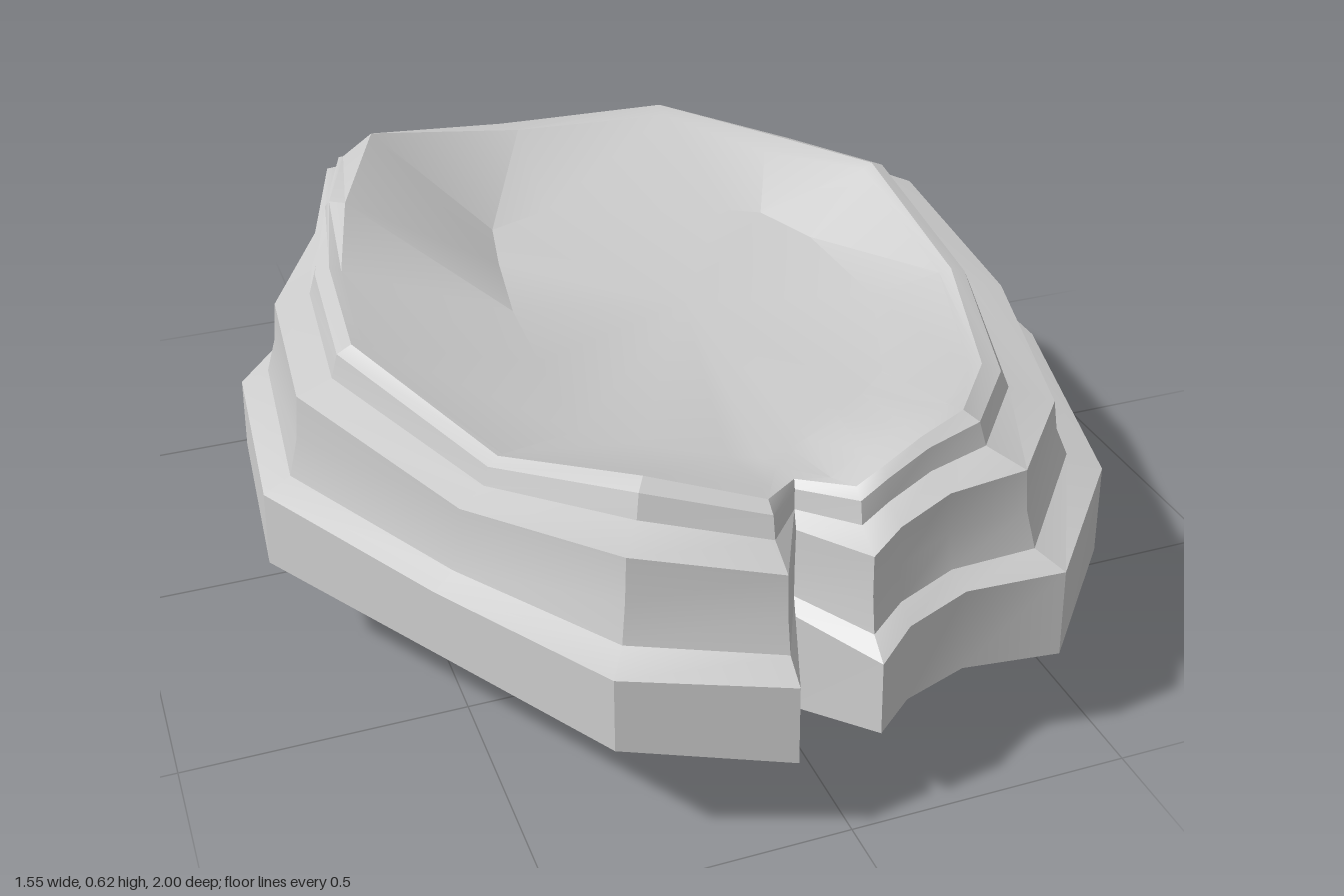
import * as THREE from 'three';
import { toCreasedNormals } from 'three/addons/utils/BufferGeometryUtils.js';

// Each outline starts at the front notch and runs round by +x, back, -x.
// Widest band: x, z, lower y, upper y
const BAND = [
  [0.05, 0.98, 0.17, 0.3], [0.12, 0.93, 0.18, 0.32], [0.24, 0.89, 0.18, 0.33],
  [0.41, 0.91, 0.18, 0.34], [0.63, 0.66, 0.17, 0.34], [0.77, 0.17, 0.17, 0.33],
  [0.76, -0.25, 0.19, 0.34], [0.62, -0.62, 0.19, 0.33], [0.39, -0.88, 0.19, 0.33],
  [-0.02, -1, 0.2, 0.33], [-0.46, -0.85, 0.2, 0.33], [-0.57, -0.4, 0.2, 0.34],
  [-0.75, -0.16, 0.2, 0.34], [-0.78, 0.24, 0.2, 0.34], [-0.57, 0.6, 0.21, 0.33],
  [-0.37, 0.91, 0.2, 0.33], [-0.1, 1, 0.17, 0.31], [-0.03, 0.82, 0.12, 0.3],
];
// Upper rim: x, z, y
const RIM = [
  [0.07, 0.8, 0.52], [0.12, 0.79, 0.54], [0.2, 0.76, 0.56],
  [0.29, 0.73, 0.575], [0.45, 0.51, 0.51], [0.58, 0.15, 0.5],
  [0.57, -0.19, 0.58], [0.5, -0.47, 0.53], [0.31, -0.74, 0.53],
  [-0.02, -0.87, 0.48], [-0.42, -0.7, 0.53], [-0.52, -0.34, 0.6],
  [-0.57, -0.11, 0.575], [-0.6, 0.22, 0.595], [-0.43, 0.51, 0.51],
  [-0.26, 0.73, 0.57], [-0.08, 0.8, 0.53], [0, 0.72, 0.5],
];
// Inner lip of the basin: x, z, y
const LIP = [
  [0.05, 0.75, 0.51], [0.11, 0.74, 0.54], [0.19, 0.72, 0.56],
  [0.28, 0.7, 0.57], [0.43, 0.5, 0.505], [0.56, 0.14, 0.49],
  [0.55, -0.19, 0.57], [0.45, -0.46, 0.51], [0.3, -0.68, 0.53],
  [-0.03, -0.71, 0.53], [-0.38, -0.58, 0.625], [-0.5, -0.28, 0.62],
  [-0.55, -0.1, 0.57], [-0.58, 0.22, 0.59], [-0.42, 0.5, 0.505],
  [-0.24, 0.71, 0.56], [-0.05, 0.75, 0.51], [0, 0.65, 0.48],
];
// Basin floor edge: x, z
const FLOOR = [
  [0.06, 0.57], [0.1, 0.55], [0.18, 0.5], [0.25, 0.45], [0.32, 0.39], [0.43, 0.12],
  [0.42, -0.15], [0.37, -0.29], [0.3, -0.33], [-0.05, -0.45], [-0.18, -0.4], [-0.21, -0.25],
  [-0.24, -0.05], [-0.25, 0.15], [-0.26, 0.4], [-0.17, 0.47], [-0.05, 0.56], [0, 0.58],
];
// Stepped ledges between band and rim: [inward fraction, upward fraction]
const LEDGES = [[0.28, 0.1], [0.38, 0.38], [0.42, 0.7], [0.78, 0.78], [0.85, 0.95]];

const mix = THREE.MathUtils.lerp;

// Skin a stack of closed loops, with optional fans to a bottom or top point
function loft(loops, bottom, top) {
  const n = loops[0].length;
  const positions = [];
  const triangle = (...corners) => corners.forEach((c) => positions.push(...c));
  for (let i = 0; i < n; i++) {
    const j = (i + 1) % n;
    if (bottom) triangle(bottom, loops[0][j], loops[0][i]);
    for (let k = 0; k + 1 < loops.length; k++) {
      const a = loops[k], b = loops[k + 1];
      triangle(a[i], a[j], b[j]);
      triangle(a[i], b[j], b[i]);
    }
    const last = loops[loops.length - 1];
    if (top) triangle(last[i], last[j], top);
  }
  const geometry = new THREE.BufferGeometry();
  geometry.setAttribute('position', new THREE.Float32BufferAttribute(positions, 3));
  return toCreasedNormals(geometry, THREE.MathUtils.degToRad(28));
}

export function createModel() {
  const group = new THREE.Group();
  group.name = 'layeredRock';
  const material = new THREE.MeshStandardMaterial({ color: 0xcccccc, side: THREE.DoubleSide });
  const add = (name, geometry) => {
    const mesh = new THREE.Mesh(geometry, material);
    mesh.name = name;
    group.add(mesh);
  };

  const lower = BAND.map(([x, z, y]) => [x, y, z]);
  const upper = BAND.map(([x, z, , y]) => [x * 0.995, y, z * 0.99]);
  const ledges = LEDGES.map(([inward, up]) => upper.map(([x, y, z], i) => {
    const [rx, rz, ry] = RIM[i];
    return [mix(x, rx, inward), mix(y, ry, up), mix(z, rz, inward)];
  }));
  const rim = RIM.map(([x, z, y]) => [x, y, z]);
  const lip = LIP.map(([x, z, y]) => [x, y, z]);
  const floor = FLOOR.map(([x, z]) => [x, 0.455, z]);

  // Shallow underside, falling to an off-centre low point
  const belly = lower.map(([x, y, z]) => [mix(0.05, x, 0.82), y * 0.53, z * 0.8]);
  add('underside', loft([belly, lower], [0.2, 0, -0.2]));

  // Notched outer wall with stepped strata
  add('strata', loft([lower, upper, ...ledges, rim]));

  // Sunken top with a flat floor
  add('basin', loft([rim, lip, floor], null, [0.08, 0.45, 0.02]));

  return group;
}
